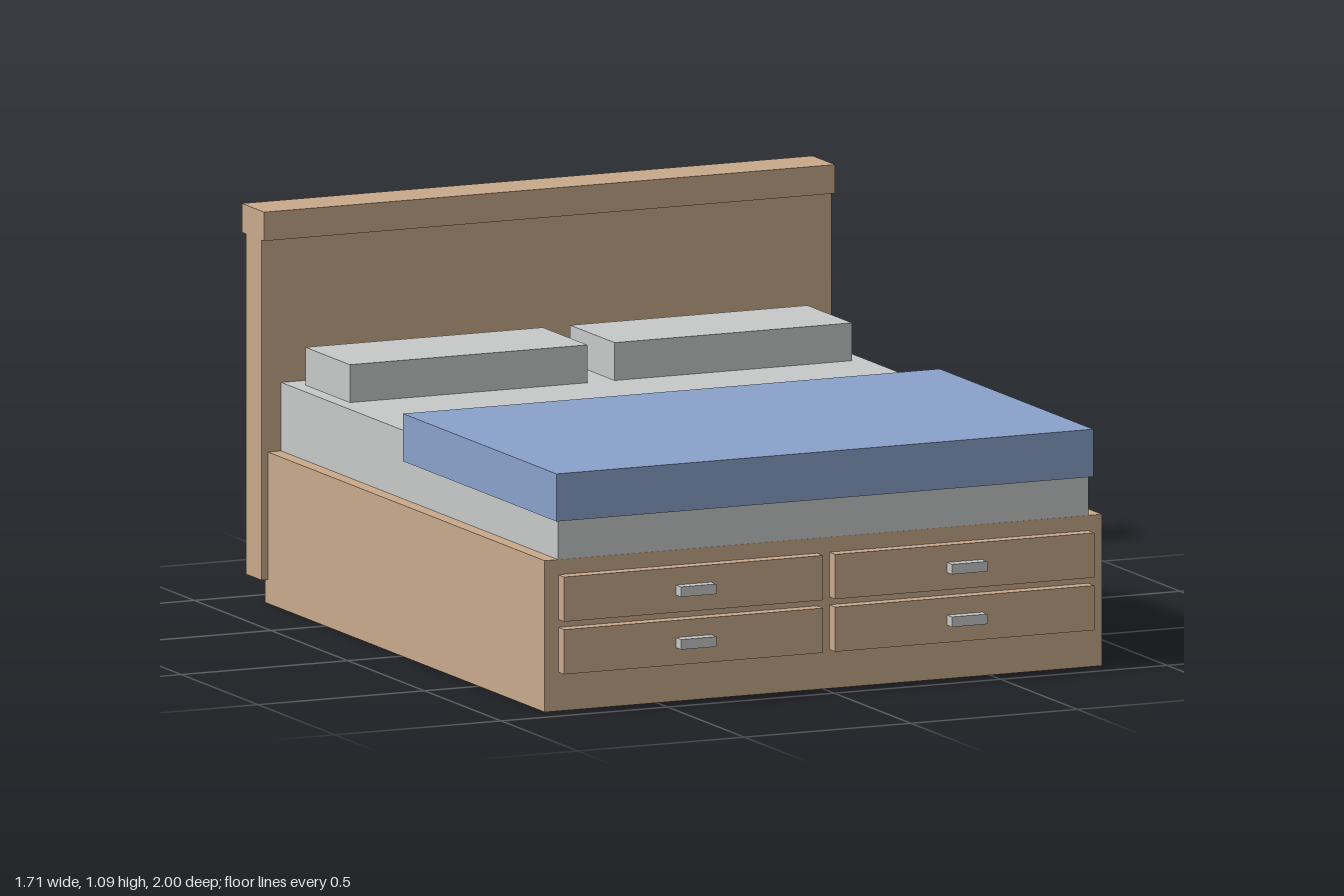
import * as THREE from 'three';

const wood = new THREE.MeshStandardMaterial({ name: 'wood', color: 0xc8a98b });
const linen = new THREE.MeshStandardMaterial({ name: 'pale grey', color: 0xc6c9c8 });
const blue = new THREE.MeshStandardMaterial({ name: 'blanket blue', color: 0x89a1ca });

// Box given by its [min, max] range on each axis
function block(name, material, [x0, x1], [y0, y1], [z0, z1]) {
  const mesh = new THREE.Mesh(new THREE.BoxGeometry(x1 - x0, y1 - y0, z1 - z0), material);
  mesh.position.set((x0 + x1) / 2, (y0 + y1) / 2, (z0 + z1) / 2);
  mesh.name = name;
  return mesh;
}

export function createModel() {
  const bed = new THREE.Group();
  bed.name = 'bed';

  // Frame and headboard
  bed.add(
    block('base', wood, [-0.837, 0.837], [0, 0.42], [-0.893, 0.93]),
    block('headboardPanel', wood, [-0.856, 0.856], [0.066, 1.01], [-0.976, -0.874]),
    block('headboardCap', wood, [-0.857, 0.857], [1.01, 1.09], [-1, -0.855])
  );

  // Bedding
  bed.add(
    block('mattress', linen, [-0.797, 0.797], [0.42, 0.61], [-0.874, 0.929]),
    block('blanket', blue, [-0.806, 0.806], [0.528, 0.66], [-0.061, 0.94])
  );

  for (const side of [-1, 1]) {
    const label = side > 0 ? 'left' : 'right';
    const span = (a, b) => (side > 0 ? [a, b] : [-b, -a]);
    bed.add(block(label + 'Pillow', linen, span(0.041, 0.754), [0.61, 0.715], [-0.81, -0.52]));

    // Two stacked drawers with handles
    for (const [row, y] of [['Lower', 0.17], ['Upper', 0.316]]) {
      const drawer = new THREE.Group();
      drawer.name = label + row + 'Drawer';
      drawer.add(
        block('drawerFront', wood, span(0.018, 0.796), [y - 0.062, y + 0.062], [0.93, 0.968]),
        block('drawerHandle', linen, span(0.354, 0.46), [y - 0.014, y + 0.014], [0.968, 1])
      );
      bed.add(drawer);
    }
  }
  return bed;
}
